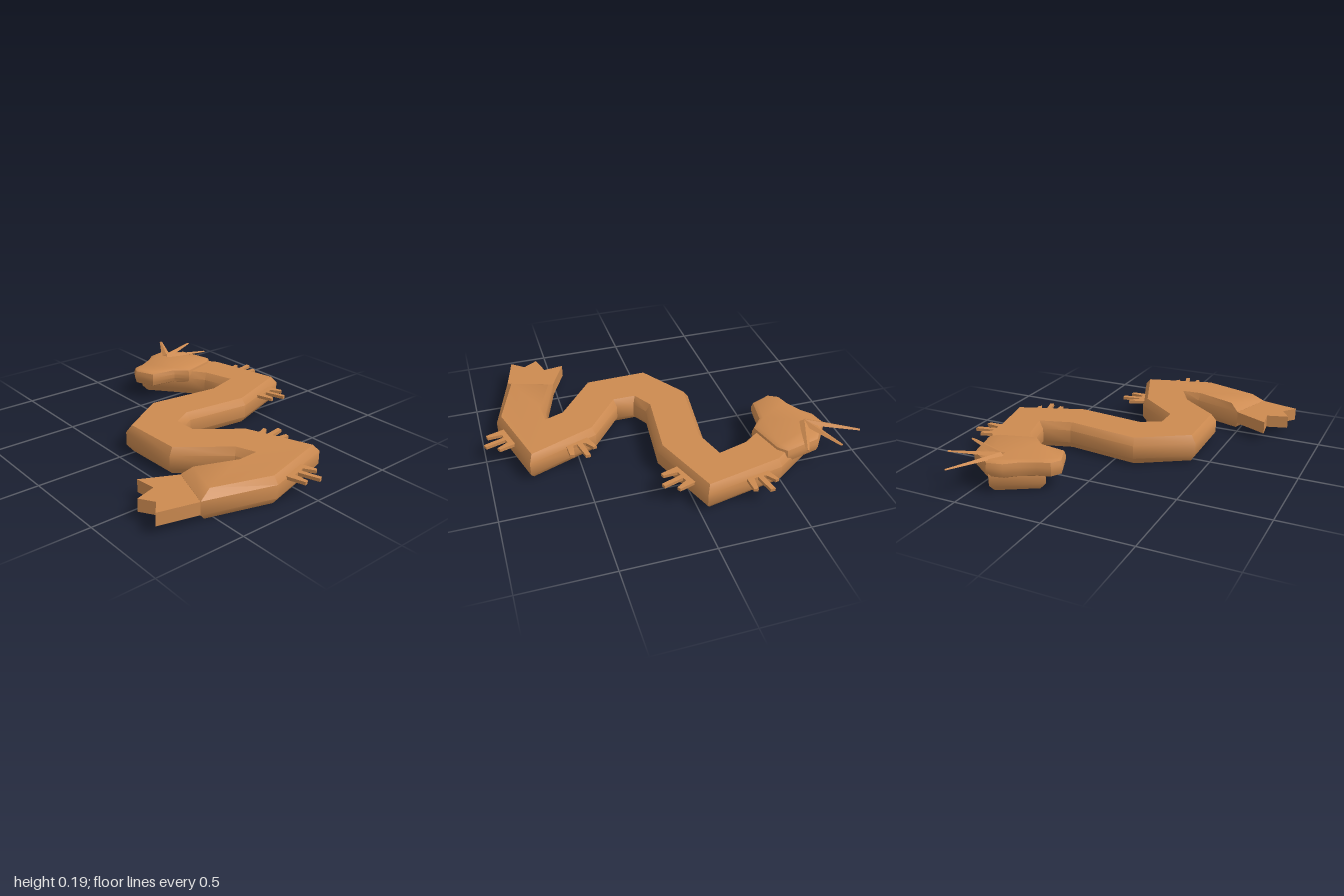
import * as THREE from 'three';
import { toCreasedNormals } from 'three/addons/utils/BufferGeometryUtils.js';

// Lying slab from a plan outline of [x, z] points, with chamfered rims
function slab(points, y0, y1, bevel = 0, inset = 0, segments = 1) {
  const shape = new THREE.Shape(points.map(([x, z]) => new THREE.Vector2(x, -z)));
  const geo = new THREE.ExtrudeGeometry(shape, {
    depth: y1 - y0 - 2 * bevel,
    bevelEnabled: bevel > 0,
    bevelThickness: bevel,
    bevelSize: inset,
    bevelOffset: -inset,
    bevelSegments: segments,
  });
  geo.rotateX(-Math.PI / 2);
  geo.translate(0, y0 + bevel, 0);
  return geo;
}

export function createModel() {
  const group = new THREE.Group();
  const bronze = new THREE.MeshStandardMaterial({ color: 0xcc8a50 });
  const add = (name, geo, crease = 0.5) => {
    const mesh = new THREE.Mesh(toCreasedNormals(geo, crease), bronze);
    mesh.name = name;
    group.add(mesh);
    return mesh;
  };

  // Winding body: outer bank from neck to tail, then inner bank back
  const bodyGeo = slab([
    [-0.84, -0.4], [-0.49, -0.645], [-0.04, -0.74], [0.105, -0.335],
    [0.06, 0.05], [0.11, 0.14], [0.21, 0.14], [0.39, -0.085],
    [0.785, -0.235], [0.905, 0.19], [0.79, 0.58],
    [0.525, 0.49], [0.62, 0.2], [0.62, 0.12], [0.55, 0.15],
    [0.34, 0.415], [-0.04, 0.425], [-0.225, 0.13], [-0.17, -0.295],
    [-0.215, -0.45], [-0.36, -0.41], [-0.45, -0.345], [-0.69, -0.15],
  ], 0, 0.155, 0.04, 0.028);
  // Longer slope where the back drops to the tail fin
  const pos = bodyGeo.attributes.position;
  for (let i = 0; i < pos.count; i++) {
    if (pos.getY(i) > 0.15 && pos.getZ(i) > 0.42) pos.setZ(i, pos.getZ(i) - 0.035);
  }
  add('body', bodyGeo, 0.65);

  // Ragged tail fin
  add('tailFin', slab([
    [0.56, 0.42], [0.525, 0.49], [0.43, 0.685], [0.545, 0.67], [0.58, 0.79],
    [0.66, 0.74], [0.735, 0.8], [0.79, 0.58], [0.8, 0.5],
  ], 0.042, 0.114));

  // Head with rounded snout
  add('head', slab([
    [-0.845, -0.41], [-0.825, -0.32], [-0.775, -0.26], [-0.73, -0.175],
    [-0.71, -0.105], [-0.65, -0.07], [-0.53, -0.12], [-0.505, -0.275],
    [-0.44, -0.345], [-0.495, -0.55], [-0.54, -0.6], [-0.745, -0.55],
  ], 0.083, 0.178, 0.035, 0.026, 2), 0.6);

  // Three horns fanning out from the brow
  const base = new THREE.Vector3(-0.735, 0.176, -0.385);
  [[-1, 0.172, -0.54], [-0.83, 0.185, -0.65], [-0.635, 0.183, -0.635]].forEach((t) => {
    const dir = new THREE.Vector3(...t).sub(base);
    const geo = new THREE.CylinderGeometry(0.009, 0.03, dir.length(), 4);
    geo.scale(1, 1, 0.5);
    geo.translate(0, dir.length() / 2, 0);
    const horn = add('horn', geo);
    // Keep each horn's thin side facing up
    const yAxis = dir.clone().normalize();
    const xAxis = yAxis.clone().cross(new THREE.Vector3(0, 1, 0)).normalize();
    const zAxis = xAxis.clone().cross(yAxis);
    horn.quaternion.setFromRotationMatrix(new THREE.Matrix4().makeBasis(xAxis, yAxis, zAxis));
    horn.position.copy(base);
  });

  // Three-toed claws: the same pair repeats at each bend
  const backClaw = [
    [-0.37, -0.6], [-0.4, -0.655], [-0.43, -0.735], [-0.41, -0.74], [-0.378, -0.695],
    [-0.362, -0.69], [-0.382, -0.8], [-0.355, -0.8], [-0.33, -0.692],
    [-0.308, -0.697], [-0.298, -0.778], [-0.274, -0.772], [-0.27, -0.687], [-0.25, -0.63],
  ];
  const sideClaw = [
    [-0.03, -0.62], [0.0, -0.635], [0.083, -0.662], [0.095, -0.645], [0.035, -0.607],
    [0.045, -0.585], [0.153, -0.618], [0.163, -0.596], [0.05, -0.558],
    [0.056, -0.532], [0.136, -0.537], [0.142, -0.516], [0.056, -0.49], [0.02, -0.48],
  ];
  [[backClaw, 0, 0], [backClaw, 0.84, 0.545], [sideClaw, 0, 0], [sideClaw, 0.837, 0.593]]
    .forEach(([outline, dx, dz]) => {
      add('claw', slab(outline.map(([x, z]) => [x + dx, z + dz]), 0.104, 0.122));
    });

  return group;
}
